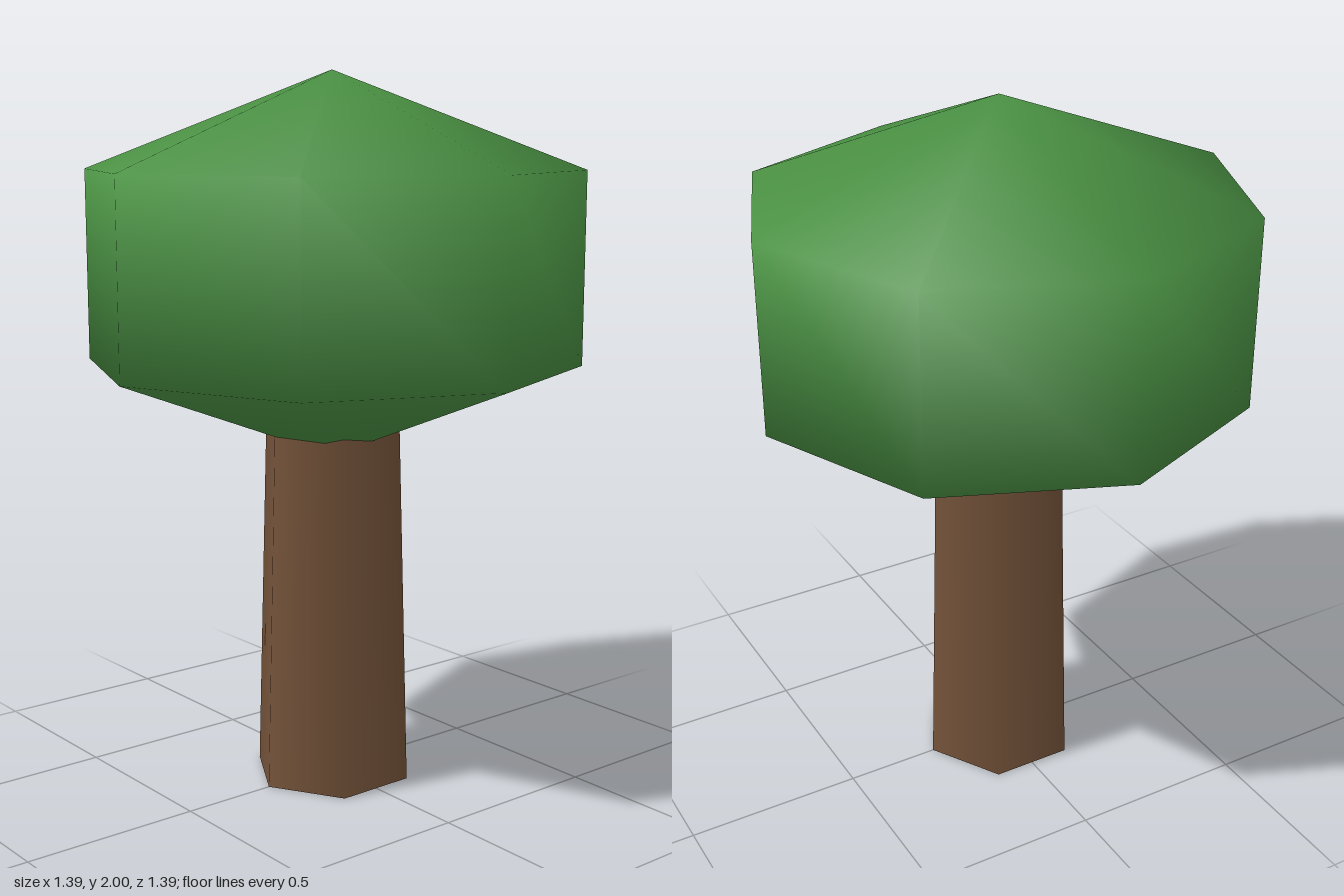
import * as THREE from 'three';

export function createModel() {
  const model = new THREE.Group();

  const bark = new THREE.MeshStandardMaterial({ color: 0x735239 });
  bark.name = 'bark brown';
  const leaves = new THREE.MeshStandardMaterial({ color: 0x4a9143 });
  leaves.name = 'leaf green';

  // Tapered six-sided trunk, corners on the x axis, its top hidden in the crown
  const trunkHeight = 1.07;
  const trunkGeometry = new THREE.CylinderGeometry(0.2, 0.231, trunkHeight, 6);
  trunkGeometry.rotateY(Math.PI / 6).translate(0, trunkHeight / 2, 0);
  const trunk = new THREE.Mesh(trunkGeometry, bark);
  trunk.name = 'trunk';

  // Coarse flattened ball of foliage, smoothly shaded
  const crownGeometry = new THREE.SphereGeometry(0.8, 8, 3);
  crownGeometry.scale(1, 2 / 3, 1).translate(0, 2 - 0.8 * 2 / 3, 0);
  const crown = new THREE.Mesh(crownGeometry, leaves);
  crown.name = 'crown';

  model.add(trunk, crown);
  return model;
}
